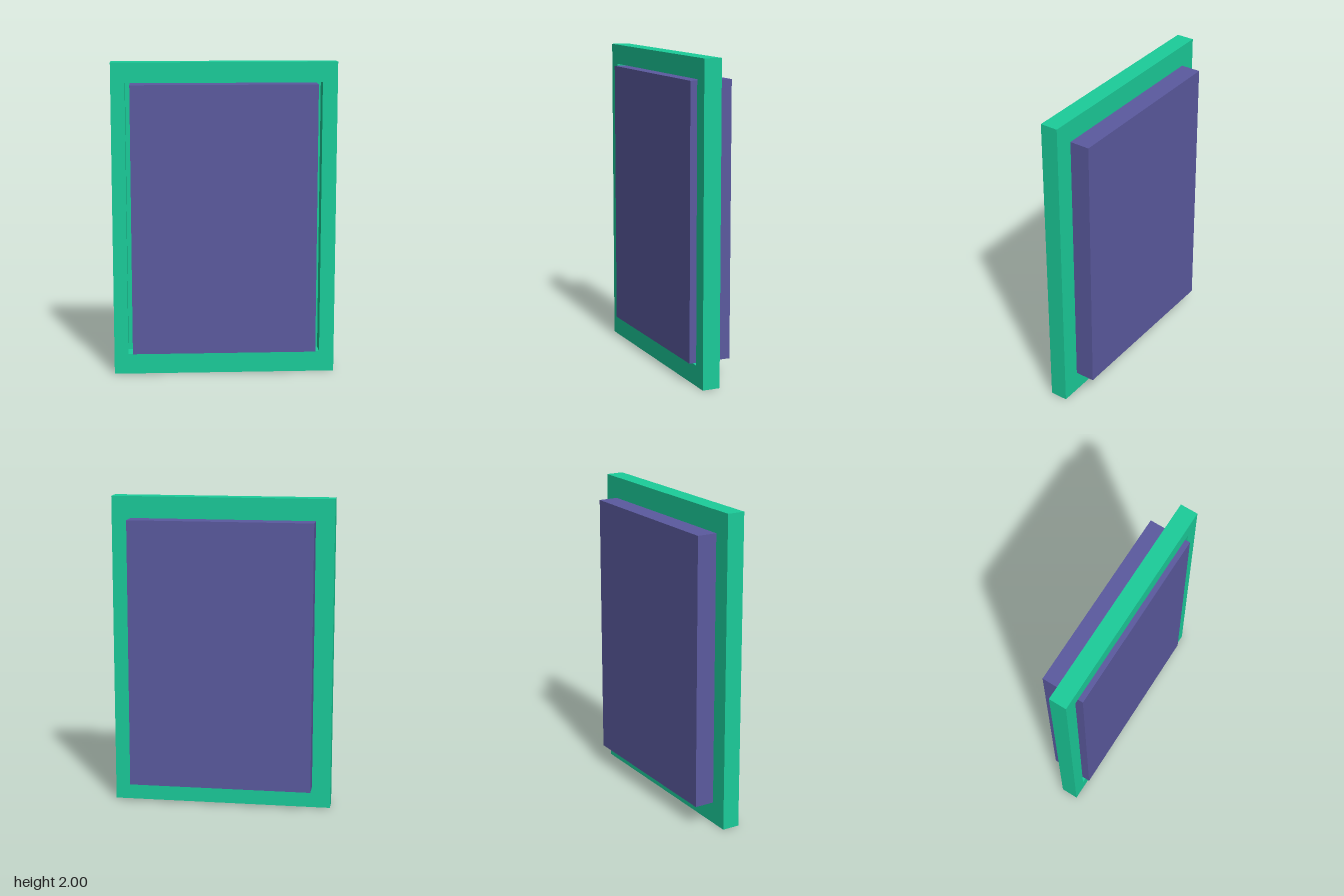
import * as THREE from 'three';

export function createModel() {
  const model = new THREE.Group();
  const green = new THREE.MeshStandardMaterial({ color: 0x1bcc9a });
  const purple = new THREE.MeshStandardMaterial({ color: 0x5b5a9f });

  const add = (name, geometry, material, x, y, z) => {
    const mesh = new THREE.Mesh(geometry, material);
    mesh.name = name;
    mesh.position.set(x, y, z);
    model.add(mesh);
  };

  // Rectangle traced counter-clockwise
  const rectangle = (path, x0, y0, x1, y1) => {
    path.moveTo(x0, y0);
    path.lineTo(x1, y0);
    path.lineTo(x1, y1);
    path.lineTo(x0, y1);
    path.closePath();
    return path;
  };

  // Frame with a rectangular opening
  const outline = rectangle(new THREE.Shape(), -0.708, 0, 0.708, 2);
  outline.holes.push(rectangle(new THREE.Path(), -0.619, 0.131, 0.614, 1.873));
  const frame = new THREE.ExtrudeGeometry(outline, { depth: 0.107, bevelEnabled: false });
  add('frame', frame, green, 0, 0, -0.002);

  // Thin plate closing the back of the frame
  add('backPlate', new THREE.BoxGeometry(1.416, 2, 0.006), green, 0, 1, -0.005);

  // Panel standing in the opening and passing through the back plate
  add('panel', new THREE.BoxGeometry(1.175, 1.724, 0.272), purple, -0.002, 1, 0);

  return model;
}
